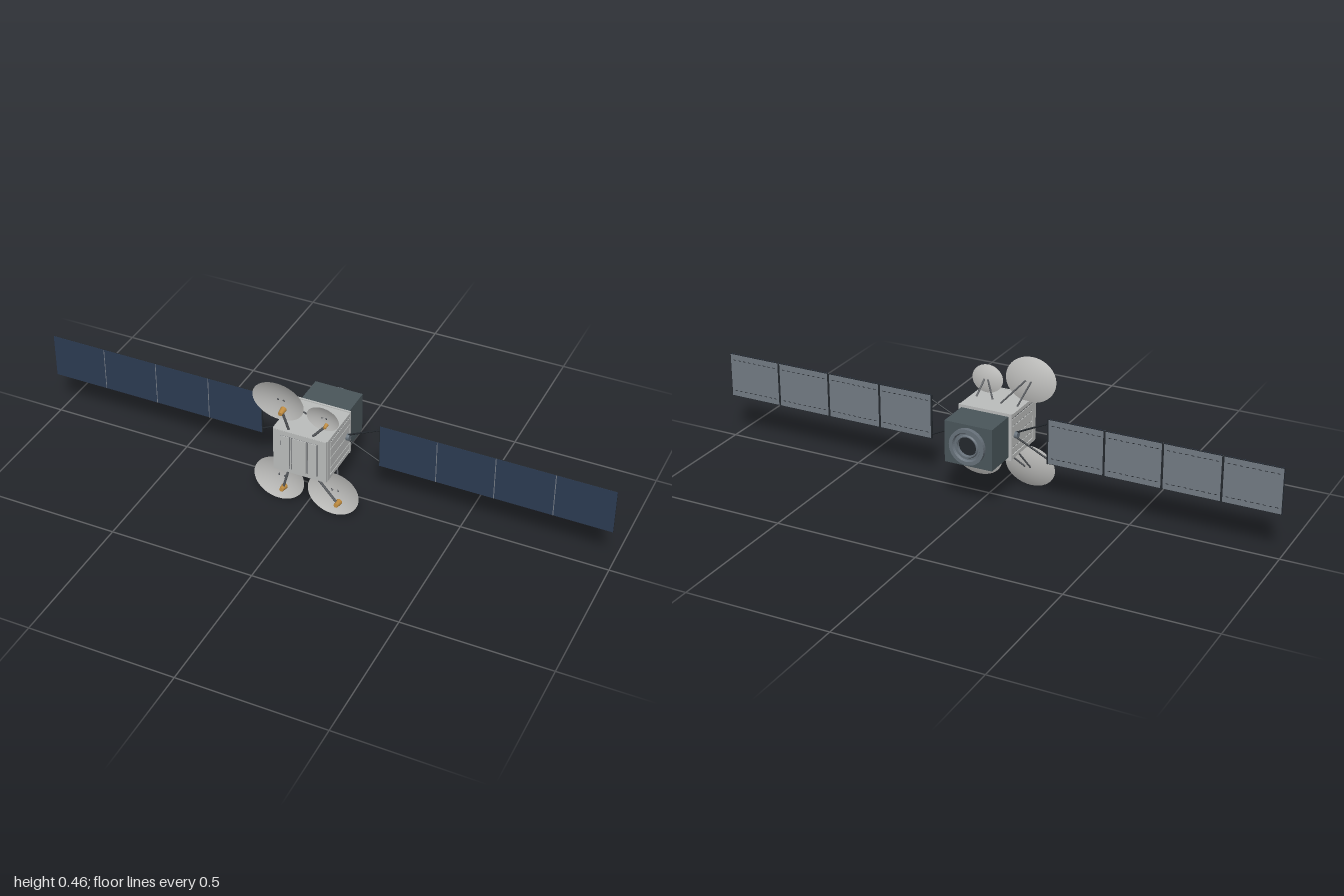
import * as THREE from 'three';

const mat = (name, color, side = THREE.FrontSide) => {
  const m = new THREE.MeshStandardMaterial({ color, side });
  m.name = name;
  return m;
};

export function createModel() {
  const pale = mat('pale body', 0xbcbebd);
  const dishMat = mat('dish grey', 0xbdbdbb, THREE.DoubleSide);
  const slate = mat('slate module', 0x4a565b);
  const grey = mat('panel back grey', 0x747c85);
  const navy = mat('solar navy', 0x2c3b52);
  const dark = mat('dark trim', 0x23282d);
  const strutMat = mat('strut grey', 0x54575b);
  const gold = mat('gold horn', 0xc08c40);
  const ringMat = mat('ring grey', 0x68727b, THREE.DoubleSide);

  const model = new THREE.Group();
  model.name = 'satellite';
  const CY = 0.232; // height of the body axis

  const add = (parent, name, geo, material, x = 0, y = 0, z = 0) => {
    const m = new THREE.Mesh(geo, material);
    m.name = name;
    m.position.set(x, y, z);
    parent.add(m);
    return m;
  };
  const box = (parent, name, material, w, h, d, x, y, z) =>
    add(parent, name, new THREE.BoxGeometry(w, h, d), material, x, y, z);
  // Tapered rod from a to b
  const rod = (parent, name, material, a, b, ra, rb = ra, sides = 8) => {
    const A = new THREE.Vector3(...a), B = new THREE.Vector3(...b);
    const m = add(parent, name, new THREE.CylinderGeometry(rb, ra, A.distanceTo(B), sides), material);
    m.position.copy(A).lerp(B, 0.5);
    m.quaternion.setFromUnitVectors(new THREE.Vector3(0, 1, 0), B.sub(A).normalize());
    return m;
  };

  // Main body
  const body = new THREE.Group();
  body.name = 'body';
  model.add(body);
  box(body, 'bodyCore', pale, 0.184, 0.158, 0.183, 0, CY, 0.0625);
  box(body, 'rearFlange', pale, 0.192, 0.164, 0.007, 0, CY, -0.0285);
  box(body, 'frontFlange', pale, 0.186, 0.16, 0.007, 0, CY, 0.1495);

  // Side radiators: grey backing with long raised slats
  const slatEdges = [0.169, 0.193, 0.232, 0.268, 0.295];
  for (const s of [-1, 1]) {
    box(body, 'sideBacking', strutMat, 0.002, 0.128, 0.15, s * 0.0925, CY, 0.051);
    for (let i = 0; i < 4; i++) {
      const h = slatEdges[i + 1] - slatEdges[i] - 0.003;
      box(body, 'sideSlat', pale, 0.003, h, 0.147, s * 0.0942, (slatEdges[i] + slatEdges[i + 1]) / 2, 0.051);
    }
    for (const e of [-1, 1]) box(body, 'sideRail', pale, 0.004, 0.013, 0.17, s * 0.0935, CY + e * 0.0725, 0.06);
    box(body, 'sidePost', pale, 0.004, 0.134, 0.018, s * 0.0935, CY, 0.1365);
  }

  // Front face: vertical slats over a grey backing
  box(body, 'frontBacking', strutMat, 0.128, 0.124, 0.004, 0, CY, 0.1545);
  const cols = [-0.064, -0.032, -0.026, 0.026, 0.032, 0.064];
  for (let i = 0; i < 5; i++) {
    const w = cols[i + 1] - cols[i] - 0.003;
    box(body, 'frontSlat', pale, w, 0.126, 0.003, (cols[i] + cols[i + 1]) / 2, CY, 0.1575);
  }

  // Rear module and thruster ring
  box(model, 'rearModule', slate, 0.17, 0.144, 0.116, 0, CY, -0.089);
  const ringPts = [[0.062, 0], [0.062, 0.015], [0.05, 0.015], [0.046, 0.007], [0.04, 0.007], [0.037, 0.012], [0.034, 0.012], [0.032, 0.001]]
    .map(([r, h]) => new THREE.Vector2(r, h));
  const ring = add(model, 'thrusterRing', new THREE.LatheGeometry(ringPts, 40).toNonIndexed(), ringMat, 0, CY, -0.147);
  ring.geometry.computeVertexNormals();
  ring.rotation.x = -Math.PI / 2;
  const well = add(model, 'thrusterWell', new THREE.CircleGeometry(0.034, 32), dark, 0, CY, -0.1485);
  well.rotation.y = Math.PI;

  // Dish antennas: shallow elliptical bowls with back struts and a feed horn
  const bowlPts = [];
  for (let i = 0; i <= 10; i++) bowlPts.push(new THREE.Vector2(Math.max(i / 10, 1e-4), (i / 10) ** 2 - 1));
  const dishes = [
    { x: -0.097, y: 0.383, z: 0.106, k: 1, up: 1, root: -0.045, foot: [-0.08, -0.02] },
    { x: 0.058, y: 0.359, z: 0.102, k: 0.62, up: 1, root: 0.04, foot: [0.015, 0.075] },
    { x: -0.097, y: 0.0765, z: 0.106, k: 1, up: -1, root: -0.045, foot: [-0.08, -0.02] },
    { x: 0.097, y: 0.0765, z: 0.106, k: 1, up: -1, root: 0.05, foot: [0.02, 0.08] },
  ];
  for (const d of dishes) {
    const g = new THREE.Group();
    g.name = 'dishAntenna';
    model.add(g);
    const edge = d.up > 0 ? 0.31 : 0.154; // body face the struts stand on
    const depth = 0.015 * d.k;

    const geo = new THREE.LatheGeometry(bowlPts, 40);
    geo.rotateX(Math.PI / 2);
    geo.scale(0.0905 * d.k, 0.0765 * d.k, depth);
    add(g, 'dishBowl', geo, dishMat, d.x, d.y, d.z).rotation.x = 0.118 * d.up;

    // Back struts in a V
    d.foot.forEach((fx, i) => {
      const ax = d.x + (i ? 0.012 : -0.008) * d.k;
      rod(g, 'dishStrut', strutMat, [ax, d.y, d.z - depth + 0.001], [fx, edge, d.k < 1 ? 0.054 : 0.04], 0.003);
    });

    // Feed horn, wide end toward the bowl
    const hx = d.x + 0.036 * (d.k < 1 ? 0.6 : 1);
    const hy = d.k < 1 ? 0.355 : d.up > 0 ? 0.384 : 0.079;
    const hz = d.k < 1 ? 0.128 : 0.151;
    const l = 0.0135 * d.k;
    rod(g, 'feedHorn', gold, [hx, hy - 0.0015 * d.up, hz + l], [hx, hy + 0.0015 * d.up, hz - l],
      0.0072 * d.k, 0.0105 * d.k, 16);
    rod(g, 'feedBoom', strutMat, [d.root, edge, 0.137], [hx, hy, hz - 0.001], 0.0042);
  }

  // Solar wings
  const PW = 0.1975, X0 = 0.21, PH = 0.157, PZ = -0.002;
  for (const s of [-1, 1]) {
    const wing = new THREE.Group();
    wing.name = s > 0 ? 'leftSolarWing' : 'rightSolarWing';
    model.add(wing);
    for (let i = 0; i < 4; i++) {
      const cx = s * (X0 + PW * (i + 0.5));
      const w = PW - 0.003;
      box(wing, 'panelFrame', dark, w, PH, 0.003, cx, CY, PZ);
      box(wing, 'solarCells', navy, w, PH, 0.001, cx, CY, PZ + 0.002);
      box(wing, 'panelBack', grey, w - 0.004, PH - 0.004, 0.001, cx, CY, PZ - 0.002);
      // Dashed wiring along the back
      for (const e of [-1, 1]) for (let j = 0; j < 9; j++)
        box(wing, 'backDash', dark, 0.01, 0.002, 0.0008, cx + (j - 4) * 0.02, CY + e * 0.057, PZ - 0.0027);
      // Hinge bar between neighbouring panels
      if (i > 0) {
        const hx = s * (X0 + PW * i);
        box(wing, 'hingeBar', dark, 0.007, PH, 0.002, hx, CY, PZ - 0.0025);
        box(wing, 'hingeSeam', grey, 0.003, PH, 0.001, hx, CY, PZ + 0.0019);
      }
    }
    box(wing, 'rootBar', dark, 0.005, PH, 0.005, s * (X0 + 0.001), CY, PZ - 0.001);

    // Wing hub and V-shaped yoke
    rod(wing, 'wingHub', ringMat, [s * 0.09, CY, PZ], [s * 0.106, CY, PZ], 0.0115, 0.0115, 24);
    for (const e of [-1, 1])
      rod(wing, 'yokeArm', dark, [s * 0.1, CY + e * 0.009, PZ], [s * X0, CY + e * 0.062, PZ], 0.003);
  }

  return model;
}
